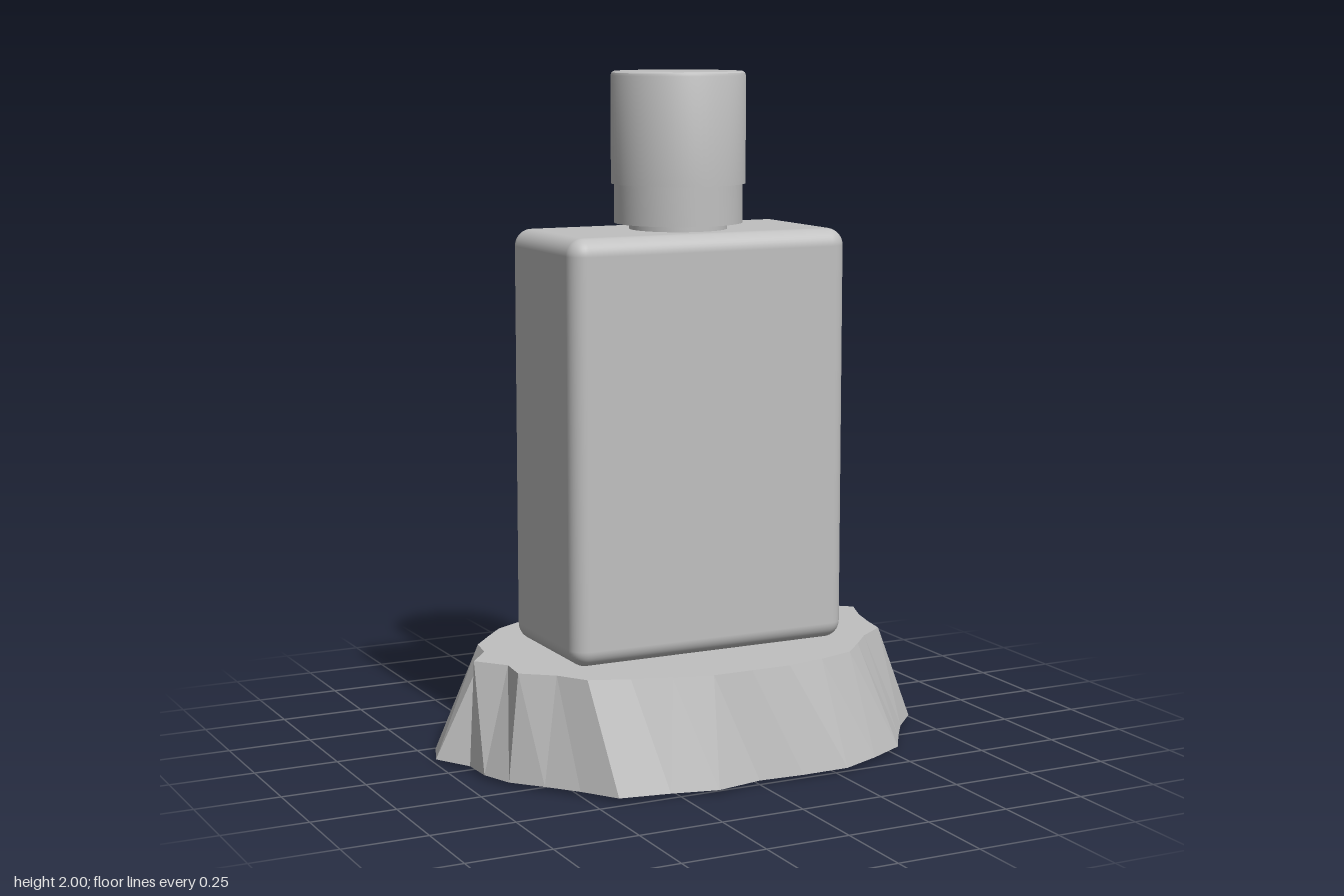
import * as THREE from 'three';
import { toCreasedNormals } from 'three/addons/utils/BufferGeometryUtils.js';
import { RoundedBoxGeometry } from 'three/addons/geometries/RoundedBoxGeometry.js';

// Radius of each rim of the rock, in 32 steps from +x towards +z
const BOTTOM = [.744, .75, .705, .708, .745, .738, .745, .705, .68, .732, .73, .77, .705, .685, .697, .693,
  .684, .762, .766, .765, .685, .695, .73, .743, .745, .715, .73, .718, .73, .72, .723, .693];
const TOP = [.616, .607, .628, .592, .605, .64, .63, .626, .614, .626, .62, .63, .655, .625, .658, .61,
  .668, .612, .632, .625, .64, .638, .668, .654, .625, .61, .655, .6, .605, .628, .61, .665];

// Faceted rock: two uneven oval rims joined by triangles, each closed by a fan
function rockGeometry() {
  const n = TOP.length, pos = [];
  const rim = (radii, y) => radii.map((r, i) => {
    const t = (i / n) * Math.PI * 2;
    return [r * Math.cos(t), y, 0.004 + r * 0.73 * Math.sin(t)];
  });
  const low = rim(BOTTOM, 0.012), high = rim(TOP, 0.323);
  const tri = (...corners) => corners.forEach((c) => pos.push(...c));
  for (let i = 0; i < n; i++) {
    const j = (i + 1) % n;
    tri(low[j], low[i], high[j]);
    tri(low[i], high[i], high[j]);
    tri([0, 0.32, 0], high[j], high[i]);
    tri([0, 0, 0], low[i], low[j]);
  }
  const g = new THREE.BufferGeometry();
  g.setAttribute('position', new THREE.Float32BufferAttribute(pos, 3));
  g.computeVertexNormals();
  return g;
}

export function createModel() {
  const model = new THREE.Group();
  model.name = 'bottleOnRock';
  const grey = new THREE.MeshStandardMaterial({ color: 0xc0c0c0 });
  grey.name = 'plain grey';

  const add = (name, geometry, x = 0, y = 0, z = 0) => {
    const mesh = new THREE.Mesh(geometry, grey);
    mesh.name = name;
    mesh.position.set(x, y, z);
    model.add(mesh);
  };
  const turned = (points) => toCreasedNormals(
    new THREE.LatheGeometry(points.map(([r, y]) => new THREE.Vector2(r, y)), 64), 0.5);

  add('rockBase', rockGeometry());

  // Bottle body with rounded edges
  add('bottleBody', new RoundedBoxGeometry(0.882, 1.225, 0.452, 5, 0.05), -0.008, 0.9325, 0.005);

  // Neck, collar and cap share one axis
  add('neck', turned([[0, 1.52], [0.143, 1.52], [0.143, 1.575], [0, 1.575]]), -0.01, 0, 0.003);
  add('collar', turned([[0, 1.563], [0.187, 1.563], [0.187, 1.69], [0, 1.69]]), -0.01, 0, 0.003);
  add('cap', turned([[0, 1.677], [0.196, 1.677], [0.196, 1.988], [0.193, 1.996], [0.186, 2], [0, 2]]), -0.01, 0, 0.003);
  return model;
}
